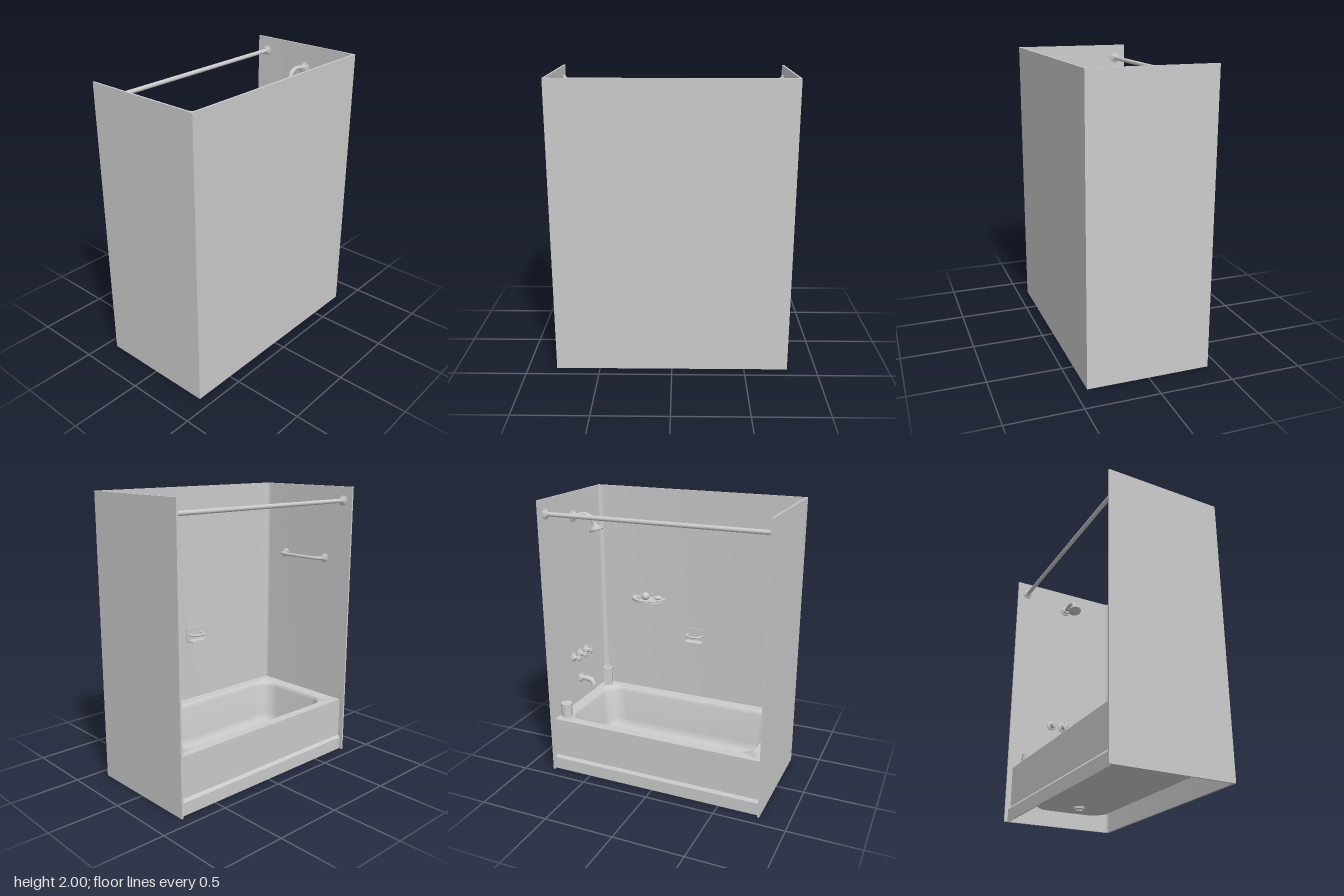
import * as THREE from 'three';
import { toCreasedNormals } from 'three/addons/utils/BufferGeometryUtils.js';

const mat = new THREE.MeshStandardMaterial({ color: 0xcccccc, side: THREE.DoubleSide });
const V = (x, y, z) => new THREE.Vector3(x, y, z);

function add(parent, name, geo, x = 0, y = 0, z = 0) {
  const m = new THREE.Mesh(geo, mat);
  m.name = name;
  m.position.set(x, y, z);
  parent.add(m);
  return m;
}

// Turned part whose axis points along +z, profile given as [radius, distance]
function turnedZ(profile, sides = 32) {
  const g = new THREE.LatheGeometry(profile.map(([r, d]) => new THREE.Vector2(r, d)), sides);
  return toCreasedNormals(g.rotateX(Math.PI / 2), 0.6);
}

function tube(points, r, segments = 40) {
  return new THREE.TubeGeometry(new THREE.CatmullRomCurve3(points, false, 'centripetal'), segments, r, 16);
}

// Skin through rounded rectangles [x0, x1, z0, z1, radius, y], closed in the middle of the last
function loftRects(rects) {
  const steps = 10, n = 4 * (steps + 1), pos = [], idx = [];
  for (const [x0, x1, z0, z1, r, y] of rects) {
    const corners = [[x1 - r, z1 - r], [x0 + r, z1 - r], [x0 + r, z0 + r], [x1 - r, z0 + r]];
    corners.forEach(([cx, cz], c) => {
      for (let i = 0; i <= steps; i++) {
        const a = (c + i / steps) * Math.PI / 2;
        pos.push(cx + r * Math.cos(a), y, cz + r * Math.sin(a));
      }
    });
  }
  const last = rects[rects.length - 1], centre = rects.length * n;
  pos.push((last[0] + last[1]) / 2, last[5], (last[2] + last[3]) / 2);
  for (let k = 0; k < rects.length; k++) {
    for (let i = 0; i < n; i++) {
      const a = k * n + i, b = k * n + (i + 1) % n;
      if (k === rects.length - 1) idx.push(a, centre, b);
      else idx.push(a, a + n, b, b, a + n, b + n);
    }
  }
  const g = new THREE.BufferGeometry();
  g.setAttribute('position', new THREE.Float32BufferAttribute(pos, 3));
  g.setIndex(idx);
  return toCreasedNormals(g, 0.7);
}

export function createModel() {
  const root = new THREE.Group();
  root.name = 'tubAndShowerSurround';

  // Three-sided wall with rounded inner corners
  const plan = new THREE.Shape();
  plan.moveTo(-0.425, -0.8);
  plan.lineTo(0.42, -0.8);
  plan.lineTo(0.42, 0.8);
  plan.lineTo(-0.425, 0.8);
  plan.lineTo(-0.425, 0.787);
  plan.lineTo(0.375, 0.787);
  plan.absarc(0.375, 0.757, 0.03, Math.PI / 2, 0, true);
  plan.lineTo(0.405, -0.757);
  plan.absarc(0.375, -0.757, 0.03, 0, -Math.PI / 2, true);
  plan.lineTo(-0.425, -0.787);
  plan.closePath();
  const walls = new THREE.ExtrudeGeometry(plan, { depth: 2, bevelEnabled: false, curveSegments: 8 });
  add(root, 'surroundWalls', toCreasedNormals(walls.rotateX(-Math.PI / 2), 0.6));

  // Rim and basin in one thin skin
  const rim = 0.4;
  add(root, 'bathtub', loftRects([
    [-0.385, 0.41, -0.79, 0.79, 0.002, rim],
    [-0.322, 0.335, -0.72, 0.7, 0.13, rim],
    [-0.315, 0.327, -0.712, 0.693, 0.13, rim - 0.008],
    [-0.308, 0.32, -0.704, 0.688, 0.13, rim - 0.03],
    [-0.285, 0.3, -0.68, 0.675, 0.13, 0.14],
    [-0.277, 0.293, -0.67, 0.667, 0.125, 0.1],
    [-0.265, 0.281, -0.658, 0.655, 0.12, 0.083],
    [-0.245, 0.261, -0.638, 0.635, 0.11, 0.08],
  ]));

  // Apron along the open side, with a sloped ledge and projecting toe
  const side = [[-0.386, rim], [-0.386, 0.11], [-0.402, 0.09], [-0.402, 0],
    [-0.392, 0], [-0.392, 0.085], [-0.376, 0.105], [-0.376, rim]];
  const apron = new THREE.Shape(side.map(([x, y]) => new THREE.Vector2(x, y)));
  add(root, 'apron', new THREE.ExtrudeGeometry(apron, { depth: 1.576, bevelEnabled: false }), 0, 0, -0.788);

  // Drain
  const drain = new THREE.LatheGeometry([[0, 0.084], [0.034, 0.084], [0.037, 0.088], [0.042, 0.082],
    [0.04, 0.065], [0.025, 0.06], [0.025, 0.05], [0, 0.05]].map(([r, y]) => new THREE.Vector2(r, y)), 32);
  add(root, 'drain', toCreasedNormals(drain, 0.6), 0.005, 0, -0.455);

  // Wall flange shared by the rod, grab bar and shower arm; dir is +1 on the back wall
  const flange = (name, x, y, dir, r) => {
    const m = add(root, name, turnedZ([[0, 0.022], [r * 0.55, 0.022], [r * 0.7, 0.012], [r, 0.008], [r, 0]]),
      x, y, -0.787 * dir);
    if (dir < 0) m.rotation.y = Math.PI;
  };

  // Curtain rod
  const rod = new THREE.CylinderGeometry(0.015, 0.015, 1.57, 20).rotateX(Math.PI / 2);
  add(root, 'curtainRod', rod, -0.345, 1.9, 0);
  for (const dir of [1, -1]) flange('curtainRodFlange', -0.345, 1.9, dir, 0.036);

  // Grab bar on the front wall
  const gy = 1.47;
  add(root, 'grabBar', tube([V(-0.19, gy, 0.785), V(-0.187, gy, 0.755), V(-0.175, gy, 0.73), V(-0.15, gy, 0.722),
    V(0.165, gy, 0.722), V(0.19, gy, 0.73), V(0.202, gy, 0.755), V(0.205, gy, 0.785)], 0.012, 64));
  for (const x of [-0.19, 0.205]) flange('grabBarFlange', x, gy, -1, 0.033);

  // Shower arm and head
  flange('showerFlange', 0.005, 1.83, 1, 0.042);
  add(root, 'showerArm', tube([V(0.005, 1.83, -0.785), V(0.005, 1.845, -0.72), V(0.005, 1.845, -0.67),
    V(0.005, 1.82, -0.63), V(0.005, 1.78, -0.612)], 0.015));
  const head = add(root, 'showerHead', turnedZ([[0, -0.02], [0.018, -0.02], [0.02, 0], [0.032, 0.012],
    [0.05, 0.02], [0.05, 0.035], [0.042, 0.04], [0, 0.04]]), 0.005, 1.775, -0.612);
  head.rotation.x = Math.PI / 2 - 0.35;

  // Two tap handles, a diverter between them, and the spout
  for (const x of [-0.088, 0.005, 0.098]) {
    const knob = new THREE.Group();
    knob.name = 'tapHandle';
    knob.position.set(x, 0.78, -0.787);
    add(knob, 'handleBase', turnedZ([[0.036, 0], [0.036, 0.006], [0.018, 0.014], [0.012, 0.03],
      [0.02, 0.05], [0.02, 0.06], [0, 0.064]]));
    for (let i = 0; i < 2; i++) {
      const bar = add(knob, 'handleCrossBar', new THREE.CapsuleGeometry(0.007, 0.05, 4, 12), 0, 0, 0.052);
      bar.rotation.z = i * Math.PI / 2;
    }
    root.add(knob);
  }
  flange('spoutFlange', 0.005, 0.58, 1, 0.036);
  add(root, 'spout', tube([V(0.005, 0.58, -0.785), V(0.005, 0.582, -0.73), V(0.005, 0.572, -0.69),
    V(0.005, 0.54, -0.675)], 0.02));

  // Half-round wall shelf with a low lip
  const shelf = new THREE.Group();
  shelf.name = 'shelf';
  shelf.position.set(0.406, 1.15, -0.375);
  root.add(shelf);
  const half = new THREE.Shape().absarc(0, 0, 0.138, Math.PI / 2, Math.PI * 1.5, false);
  const board = new THREE.ExtrudeGeometry(half, { depth: 0.018, bevelEnabled: false, curveSegments: 32 });
  add(shelf, 'shelfBoard', toCreasedNormals(board.rotateX(-Math.PI / 2), 0.6));
  const lip = new THREE.TorusGeometry(0.134, 0.005, 10, 40, Math.PI).rotateZ(Math.PI / 2).rotateX(-Math.PI / 2);
  add(shelf, 'shelfLip', lip, 0, 0.018, 0);

  // Toiletries on the shelf
  add(shelf, 'ball', new THREE.SphereGeometry(0.03, 24, 16), -0.086, 0.046, 0);
  const ring = new THREE.TorusGeometry(0.025, 0.006, 10, 28).rotateX(Math.PI / 2);
  add(shelf, 'ring', ring, -0.05, 0.024, -0.062);
  const soap = add(shelf, 'soap', new THREE.SphereGeometry(0.03, 24, 16), -0.04, 0.03, 0.08);
  soap.scale.set(0.85, 0.5, 1);
  soap.rotation.y = 0.5;

  // Soap dish with a rounded guard bar
  const dish = new THREE.Group();
  dish.name = 'soapDish';
  dish.position.set(0.406, 0.9, 0.003);
  root.add(dish);
  add(dish, 'dishBackPlate', new THREE.BoxGeometry(0.012, 0.12, 0.145), -0.004, 0, 0);
  add(dish, 'dishTray', new THREE.BoxGeometry(0.07, 0.014, 0.13), -0.035, -0.04, 0);
  add(dish, 'dishGuard', tube([V(0, 0.01, -0.058), V(-0.045, 0.01, -0.056), V(-0.065, 0.01, -0.04),
    V(-0.07, 0.01, 0), V(-0.065, 0.01, 0.04), V(-0.045, 0.01, 0.056), V(0, 0.01, 0.058)], 0.008));

  // Bottle and jar standing on the rim
  const bottle = new THREE.Group();
  bottle.name = 'bottle';
  bottle.position.set(0.347, rim, -0.735);
  bottle.rotation.y = 0.42;
  root.add(bottle);
  add(bottle, 'bottleBody', new THREE.BoxGeometry(0.065, 0.15, 0.065), 0, 0.075, 0);
  add(bottle, 'bottleShoulder', new THREE.BoxGeometry(0.034, 0.02, 0.034), 0, 0.16, 0);
  add(bottle, 'bottleCap', new THREE.CylinderGeometry(0.01, 0.01, 0.02, 16), 0, 0.18, 0);
  add(root, 'jar', new THREE.CylinderGeometry(0.042, 0.042, 0.1, 32), -0.293, rim + 0.05, -0.738);

  return root;
}
